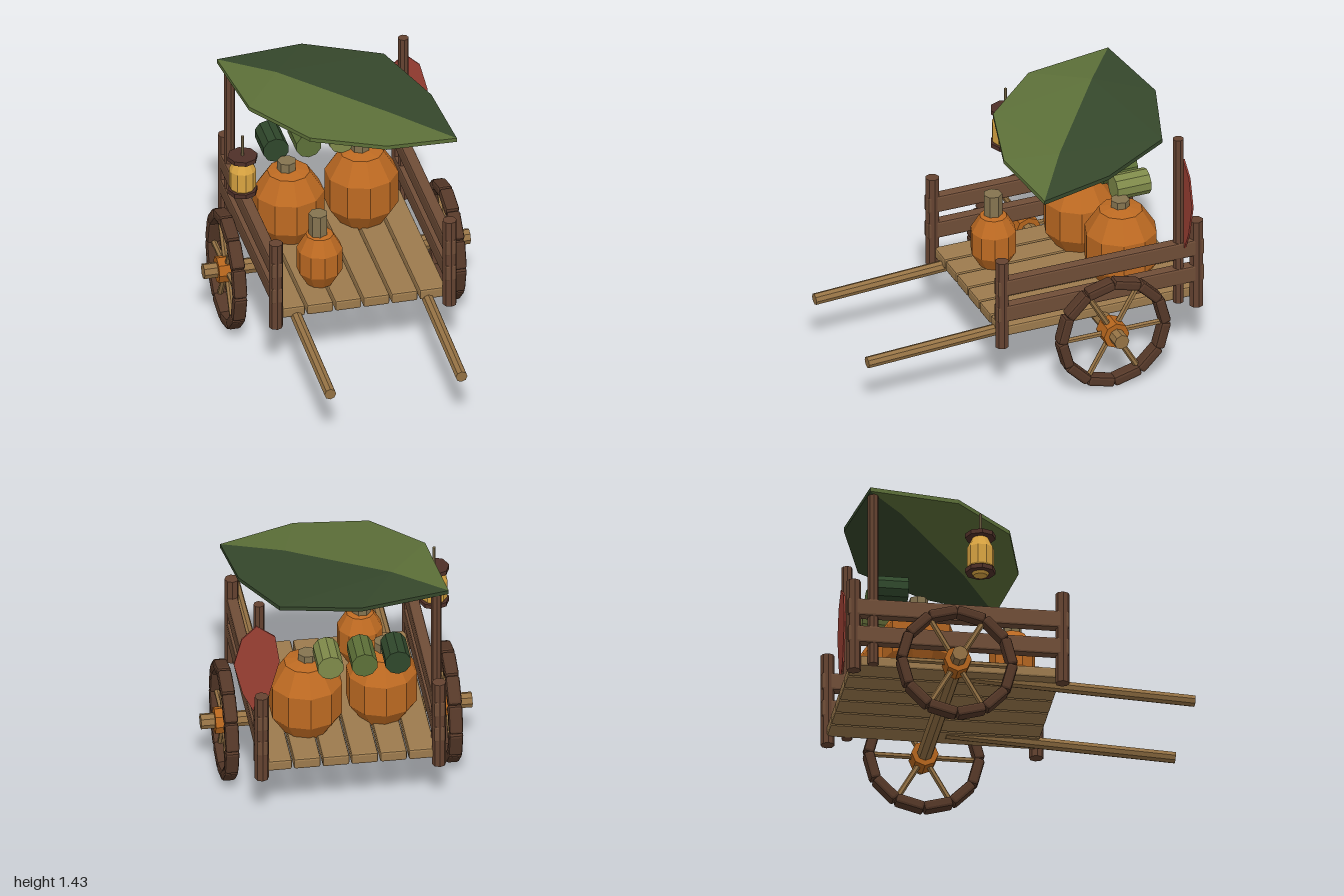
import * as THREE from 'three';
import { RoundedBoxGeometry } from 'three/addons/geometries/RoundedBoxGeometry.js';

const mat = (color, side = THREE.FrontSide) =>
  new THREE.MeshStandardMaterial({ color, flatShading: true, side });
const M = {
  post: mat(0x654331), rail: mat(0x6f4d37), wheel: mat(0x553828), plank: mat(0x9c7a4d),
  pole: mat(0x967345), hub: mat(0xb5651d), gourd: mat(0xbd6a22), stem: mat(0x857450),
  glass: mat(0xd9a441), iron: mat(0x4f3028), flag: mat(0x9c4034),
};

export function createModel() {
  const cart = new THREE.Group();

  const add = (name, geo, material, x = 0, y = 0, z = 0, parent = cart) => {
    const m = new THREE.Mesh(geo, material);
    m.name = name;
    m.position.set(x, y, z);
    parent.add(m);
    return m;
  };
  const block = (w, h, d, r = 0.012) => new RoundedBoxGeometry(w, h, d, 1, r);
  // Straight round bar between two points
  const bar = (name, a, b, r, sides, material, parent = cart) => {
    const p = new THREE.Vector3(...a), q = new THREE.Vector3(...b);
    const m = add(name, new THREE.CylinderGeometry(r, r, p.distanceTo(q), sides), material, 0, 0, 0, parent);
    m.position.copy(p).add(q).multiplyScalar(0.5);
    m.quaternion.setFromUnitVectors(new THREE.Vector3(0, 1, 0), q.sub(p).normalize());
    return m;
  };
  const lathe = (pts, sides) =>
    new THREE.LatheGeometry(pts.map(p => new THREE.Vector2(...p)), sides);

  // Deck planks
  for (let i = 0; i < 6; i++)
    add('deckPlank', block(0.152, 0.065, 1.19), M.plank, (i - 2.5) * 0.163, 0.4, -0.368);

  // Axle
  bar('axle', [-0.77, 0.35, -0.39], [0.77, 0.35, -0.39], 0.045, 8, M.pole);

  for (const s of [-1, 1]) {
    // Pulling shaft
    bar('shaft', [s * 0.38, 0.325, 1], [s * 0.38, 0.388, -0.3], 0.034, 8, M.pole);

    // Corner posts and side rails
    for (const z of [0.23, -0.955])
      bar('cornerPost', [s * 0.503, 0.325, z], [s * 0.503, 0.877, z], 0.04, 8, M.post);
    for (const y of [0.543, 0.71])
      add('sideRail', block(0.066, 0.105, 1.26), M.rail, s * 0.503, y, -0.363);

    // Tall pole at the back
    bar('canopyPole', [s * 0.503, 0.37, -0.845], [s * 0.503, s > 0 ? 1.43 : 1.415, -0.845], 0.031, 8, M.post);

    // Wheel: segmented rim, spokes and hub
    const wheel = new THREE.Group();
    wheel.name = 'wheel';
    wheel.position.set(s * 0.635, 0.35, -0.39);
    for (let i = 0; i < 12; i++) {
      const a = (i + 0.5) * Math.PI / 6;
      const seg = add('rimSegment', block(0.08, 0.062, 0.168, 0.016), M.wheel,
        0, Math.cos(a) * 0.305, Math.sin(a) * 0.305, wheel);
      seg.rotation.x = a;
    }
    for (let i = 0; i < 6; i++) {
      const a = i * Math.PI / 3, y = Math.sin(a), z = Math.cos(a);
      bar('spoke', [0, y * 0.05, z * 0.05], [0, y * 0.29, z * 0.29], 0.017, 6, M.pole, wheel);
    }
    bar('hub', [-0.057, 0, 0], [0.057, 0, 0], 0.077, 8, M.hub, wheel);
    cart.add(wheel);
  }

  // Gourds: x, z, body width scale, body height scale, stem bottom, stem top
  const body = lathe([[0, 0], [0.125, 0], [0.208, 0.125], [0.208, 0.325], [0.125, 0.455], [0, 0.48]], 10);
  for (const [x, z, w, h, lo, hi] of [
    [0.205, -0.62, 1, 1, 0.86, 0.922],
    [-0.235, -0.55, 0.97, 0.95, 0.83, 0.91],
    [-0.19, -0.01, 0.625, 0.69, 0.74, 0.882],
  ]) {
    const base = w < 0.8 ? 0.432 : 0.41;
    add('gourd', body, M.gourd, x, base, z).scale.set(w, h, w);
    const sx = x - (x < -0.2 ? 0.01 : 0.008);
    bar('gourdStem', [sx, lo, z], [sx, hi, z], 0.054, 7, M.stem);
  }

  // Cloth rolls
  [[-0.29, 0x2f472b], [-0.1, 0x5d7038], [0.093, 0x7f8a4a]].forEach(([x, c]) =>
    bar('clothRoll', [x, 0.94, -0.825], [x, 0.94, -0.62], 0.075, 10, mat(c)));

  // Lantern
  const lantern = new THREE.Group();
  lantern.name = 'lantern';
  lantern.position.set(-0.577, 0, -0.247);
  cart.add(lantern);
  add('lanternGlass', lathe([[0, 0.925], [0.04, 0.925], [0.077, 0.98], [0.077, 1.09], [0.045, 1.155], [0, 1.157]], 10),
    M.glass, 0, 0, 0, lantern);
  for (const y of [0.953, 1.168])
    add('lanternPlate', new THREE.CylinderGeometry(0.086, 0.086, 0.026, 8), M.iron, 0, y, 0, lantern);
  bar('lanternRod', [0, 1.17, 0], [0, 1.307, 0], 0.009, 6, M.stem, lantern);

  // Pennant on the back pole
  const outline = [[0.52, 1.3], [0.605, 1.22], [0.65, 1.05], [0.6, 0.85], [0.54, 0.73], [0.45, 0.83], [0.39, 1.05], [0.415, 1.22]];
  const flagShape = new THREE.Shape(outline.map(p => new THREE.Vector2(...p)));
  add('pennant', new THREE.ExtrudeGeometry(flagShape, { depth: 0.01, bevelEnabled: false }), M.flag, 0, 0, -0.877);

  // Canopy: two cloth halves meeting along a diagonal ridge
  const ridge = [[-0.57, 1.435, -0.87], [-0.28, 1.44, -0.65], [0.27, 1.35, -0.22], [0.6, 1.27, 0.01]];
  const half = (name, rim, color) => {
    const loop = [...ridge, ...rim]; // ridge 0-3, then three rim points from the low end back
    const n = loop.length, pos = [], idx = [];
    for (const drop of [0, 0.024])
      for (const [x, y, z] of loop) pos.push(x, y - drop, z);
    for (const [a, b, c] of [[0, 1, 6], [1, 5, 6], [1, 2, 5], [2, 4, 5], [2, 3, 4]])
      idx.push(a, b, c, a + n, c + n, b + n);
    for (const i of [3, 4, 5, 6]) {
      const j = (i + 1) % n;
      idx.push(i, i + n, j, j, i + n, j + n);
    }
    const geo = new THREE.BufferGeometry();
    geo.setAttribute('position', new THREE.Float32BufferAttribute(pos, 3));
    // Flip the winding on the half whose loop runs the other way
    if (rim[0][2] > 0) for (let i = 0; i < idx.length; i += 3) [idx[i + 1], idx[i + 2]] = [idx[i + 2], idx[i + 1]];
    geo.setIndex(idx);
    geo.computeVertexNormals();
    add(name, geo, mat(color, THREE.DoubleSide));
  };
  half('canopyFront', [[0.175, 1.325, 0.08], [-0.24, 1.375, -0.03], [-0.51, 1.42, -0.36]], 0x5c6f38);
  half('canopyBack', [[0.555, 1.315, -0.4], [0.38, 1.37, -0.8], [-0.06, 1.415, -0.945]], 0x35472b);

  return cart;
}
